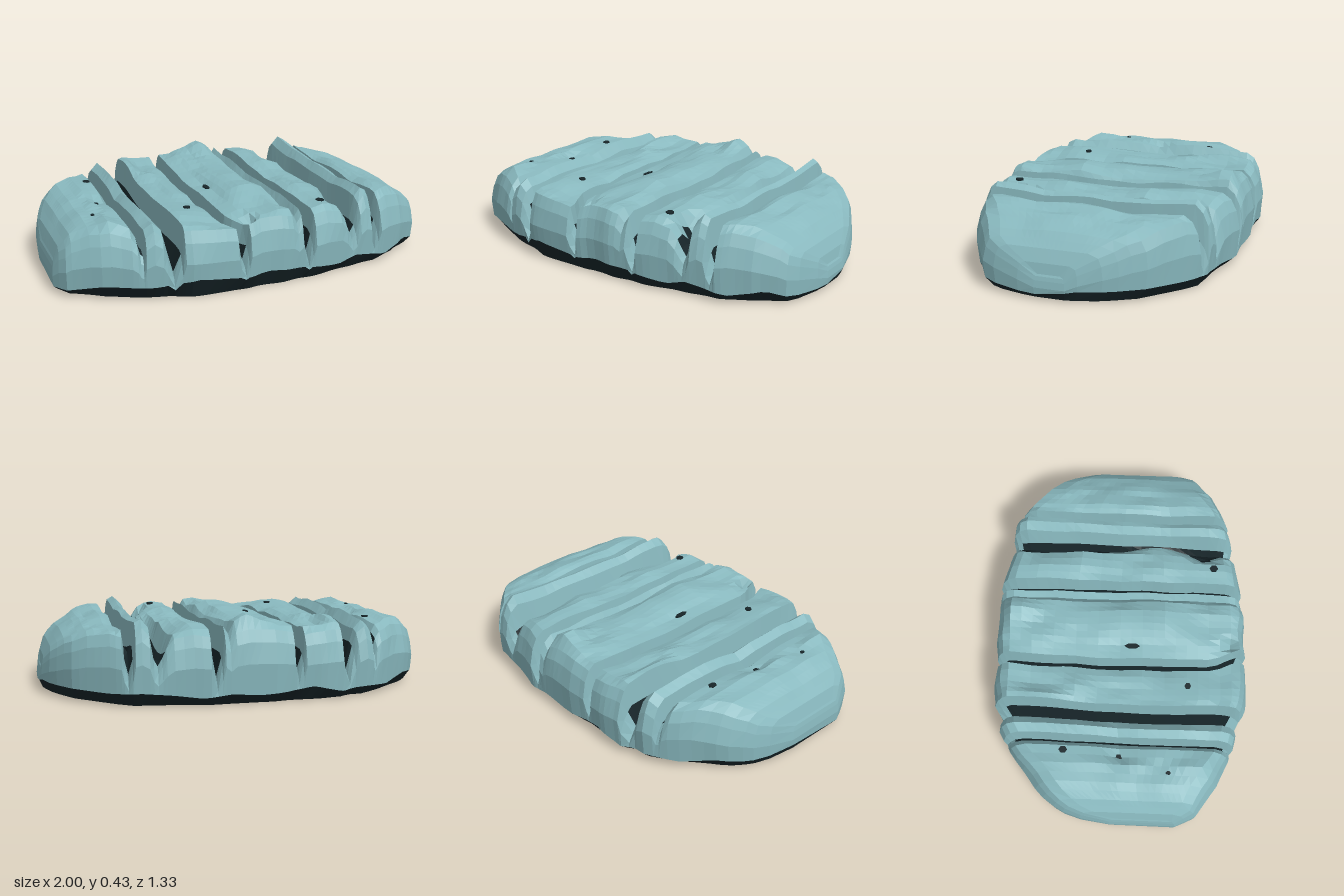
import * as THREE from 'three';

// Piecewise linear lookup in a list of [x, value] pairs
function lookup(table, x) {
  if (x <= table[0][0]) return table[0][1];
  for (let i = 1; i < table.length; i++) {
    const [x0, a] = table[i - 1], [x1, b] = table[i];
    if (x <= x1) return a + (b - a) * (x - x0) / (x1 - x0);
  }
  return table[table.length - 1][1];
}

// Seeded smooth value noise, -1..1
function hash(i, j) {
  const s = Math.sin(i * 127.1 + j * 311.7 + 4.3) * 43758.5453;
  return (s - Math.floor(s)) * 2 - 1;
}
function noise(x, z) {
  const i = Math.floor(x), j = Math.floor(z), u = x - i, v = z - j;
  const a = hash(i, j) * (1 - u) + hash(i + 1, j) * u;
  const b = hash(i, j + 1) * (1 - u) + hash(i + 1, j + 1) * u;
  return a * (1 - v) + b * v;
}

// Crest heights along x; the sharp dips are the cracks
const crest = [
  [-1, 0.17], [-0.98, 0.235], [-0.93, 0.3], [-0.85, 0.345], [-0.76, 0.36], [-0.67, 0.335], [-0.645, 0.3], [-0.632, 0.25],
  [-0.62, 0.24], [-0.61, 0.34], [-0.57, 0.375], [-0.53, 0.34], [-0.512, 0.27], [-0.48, 0.14], [-0.447, 0.24], [-0.435, 0.37],
  [-0.38, 0.37], [-0.28, 0.36], [-0.24, 0.35], [-0.228, 0.25], [-0.205, 0.17], [-0.19, 0.25], [-0.18, 0.365],
  [-0.08, 0.385], [0.06, 0.39], [0.12, 0.375], [0.15, 0.33], [0.175, 0.37], [0.19, 0.25], [0.213, 0.15], [0.232, 0.25],
  [0.245, 0.36], [0.32, 0.37], [0.41, 0.35], [0.445, 0.3], [0.465, 0.25], [0.485, 0.21], [0.505, 0.25], [0.525, 0.37],
  [0.56, 0.41], [0.59, 0.39], [0.602, 0.25], [0.62, 0.17], [0.638, 0.25], [0.65, 0.36], [0.7, 0.375], [0.8, 0.355],
  [0.9, 0.3], [0.96, 0.24], [0.99, 0.18], [1, 0.13],
];
// Plan outline: back and front edges
const backEdge = [
  [-1, -0.03], [-0.98, -0.18], [-0.95, -0.28], [-0.87, -0.4], [-0.7, -0.53], [-0.57, -0.61], [-0.5, -0.62], [-0.45, -0.655],
  [0, -0.665], [0.25, -0.66], [0.42, -0.625], [0.6, -0.61], [0.75, -0.5], [0.86, -0.4], [0.94, -0.25], [0.98, -0.15], [1, -0.03],
];
const frontEdge = [
  [-1, 0.31], [-0.96, 0.41], [-0.8, 0.52], [-0.6, 0.6], [-0.5, 0.62], [-0.4, 0.662], [0.05, 0.655], [0.3, 0.635],
  [0.5, 0.595], [0.65, 0.57], [0.8, 0.5], [0.93, 0.4], [0.98, 0.29], [1, 0.12],
];
// Wavy upper limit of the dark base along the front
const baseLine = [
  [-1, 0.035], [-0.8, 0.08], [-0.55, 0.075], [-0.38, 0.108], [-0.2, 0.08], [0, 0.095], [0.2, 0.08],
  [0.4, 0.055], [0.5, 0.085], [0.7, 0.05], [0.85, 0.08], [1, 0.035],
];
// Local swells and chips on the top: x, z, x radius, z radius, height
const chips = [
  [0.06, -0.53, 0.06, 0.1, 0.04], [-0.42, -0.4, 0.04, 0.2, 0.025], [-0.3, 0.56, 0.13, 0.1, -0.035],
  [0.43, 0.43, 0.035, 0.07, -0.09], [0.45, -0.35, 0.03, 0.25, -0.07], [-0.72, 0.01, 0.04, 0.05, -0.025],
  [0.62, -0.52, 0.02, 0.14, 0.09], [0.467, 0.18, 0.025, 0.14, 0.08], [-0.13, 0.6, 0.04, 0.06, -0.06],
];

// Top surface height: crest plus chipped unevenness
function topHeight(x, z) {
  const h = lookup(crest, x);
  const rough = THREE.MathUtils.clamp((h - 0.25) / 0.1, 0, 1);
  let y = h + rough * (0.022 * noise(x * 9, z * 4.5) + 0.01 * noise(x * 17 + 5, z * 9));
  for (const [cx, cz, rx, rz, dy] of chips) y += dy * Math.exp(-(((x - cx) / rx) ** 2) - ((z - cz) / rz) ** 2);
  return y;
}

// Sideways wander of the cracks
function wander(x, z) {
  const bend = 0.065 * Math.exp(-(((x + 0.2) / 0.12) ** 2)) * THREE.MathUtils.smoothstep(z, 0.46, 0.63);
  return bend + (1 - x * x) * (0.008 * Math.sin(z * 4 + x * 5) + 0.007 * noise(x * 4, z * 8));
}

const TOP_ROWS = 21;

// Closed cross-section from the lower front edge, over the top, to the lower back edge
function section(x) {
  const zb = lookup(backEdge, x), zf = lookup(frontEdge, x);
  const h = lookup(crest, x);
  const shrink = Math.min(1, (zf - zb) / 0.9);
  const sunk = Math.abs(x) < 0.66 ? THREE.MathUtils.clamp((0.33 - h) / 0.15, 0, 1) : 0;
  const wall = (sign) => {
    const edge = (sign > 0 ? zf : zb) + 0.008 * noise(x * 12, sign * 3.7);
    const chip = 0.014 * noise(x * 10, sign * 7.3);
    const line = sign > 0 ? lookup(baseLine, x) : 0.07 + 0.03 * noise(x * 7 + 3, 5.1);
    const band = Math.min(line, 0.42 * h);
    const rows = [
      [0.004 + 0.011 * x * x, 0.06, 0.98],
      [band, 0.012, 0.997],
      [h * 0.52, 0.015 * sunk, 1],
      [h * 0.78, 0.018 + chip + 0.02 * sunk, 0.995],
      [h * 0.93, 0.045 + chip + 0.02 * sunk, 0.99],
    ];
    return rows.map(([y, inset, sx]) => {
      const z = edge - sign * inset * shrink;
      return new THREE.Vector3(x * sx + wander(x, z), y, z);
    });
  };
  const top = [];
  const rounding = 0.03 * THREE.MathUtils.smoothstep(Math.abs(x), 0.66, 0.8);
  const inset = (0.085 + 0.015 * sunk + rounding) * shrink;
  for (let k = 0; k < TOP_ROWS; k++) {
    const z = THREE.MathUtils.lerp(zf - inset, zb + inset, k / (TOP_ROWS - 1));
    top.push(new THREE.Vector3(x * 0.985 + wander(x, z), topHeight(x, z), z));
  }
  return [...wall(1), ...top, ...wall(-1).reverse()];
}

function facetedMesh(name, points, material) {
  const geometry = new THREE.BufferGeometry().setFromPoints(points);
  geometry.computeVertexNormals();
  const mesh = new THREE.Mesh(geometry, material);
  mesh.name = name;
  return mesh;
}

export function createModel() {
  const group = new THREE.Group();
  group.name = 'crackedStoneSlab';
  const stone = new THREE.MeshStandardMaterial({ color: 0x89b9bf });
  stone.name = 'blueGreyStone';
  const dark = new THREE.MeshStandardMaterial({ color: 0x172529 });
  dark.name = 'darkUnderside';

  // Stations along x, with wide gaps subdivided
  const xs = [];
  crest.forEach(([x], i) => {
    if (i > 0) {
      const x0 = crest[i - 1][0], n = Math.ceil((x - x0) / 0.045);
      for (let s = 1; s < n; s++) xs.push(x0 + (x - x0) * s / n);
    }
    xs.push(x);
  });
  const rings = xs.map(section);
  const n = rings[0].length;

  const faces = { stone: [], base: [], cracks: [] };
  const quad = (list, a, b, c, d) => list.push(a, b, c, a, c, d);

  // Skin between neighbouring sections; low parts of the top are dark crack floors
  for (let i = 0; i < rings.length - 1; i++) {
    const inside = Math.abs(xs[i]) < 0.66 && Math.abs(xs[i + 1]) < 0.66;
    for (let k = 0; k < n; k++) {
      const k1 = (k + 1) % n;
      const corners = [rings[i][k], rings[i + 1][k], rings[i + 1][k1], rings[i][k1]];
      const height = corners.reduce((sum, p) => sum + p.y, 0) / 4;
      const isBase = k === 0 || k >= n - 2;
      const isCrack = inside && k >= 4 && k < n - 5 && height < 0.268;
      quad(isBase ? faces.base : isCrack ? faces.cracks : faces.stone, ...corners);
    }
  }
  // End walls
  const first = rings[0], last = rings[rings.length - 1];
  for (let k = 0; k < Math.floor(n / 2); k++) {
    const list = k === 0 ? faces.base : faces.stone;
    const m = n - 1 - k;
    quad(list, last[k], last[m], last[m - 1], last[k + 1]);
    quad(list, first[m], first[k], first[k + 1], first[m - 1]);
  }
  group.add(
    facetedMesh('stoneBody', faces.stone, stone),
    facetedMesh('darkBase', faces.base, dark),
    facetedMesh('crackFloors', faces.cracks, dark),
  );

  // Small dark pits on the top: x, z, x radius, z radius
  const pits = [
    [-0.68, -0.27, 0.018, 0.022], [-0.33, 0.35, 0.018, 0.016], [0.33, 0.48, 0.02, 0.022],
    [-0.72, 0.01, 0.035, 0.02], [-0.78, 0.26, 0.01, 0.013], [-0.12, 0.06, 0.014, 0.04], [-0.2, 0.55, 0.018, 0.01],
  ];
  for (const [x, z, rx, rz] of pits) {
    const pit = new THREE.Mesh(new THREE.CylinderGeometry(1, 1, 0.009, 6), dark);
    pit.scale.set(rx, 1, rz);
    pit.position.set(x, topHeight(x, z) + 0.002, z);
    pit.name = 'pit';
    group.add(pit);
  }
  return group;
}
